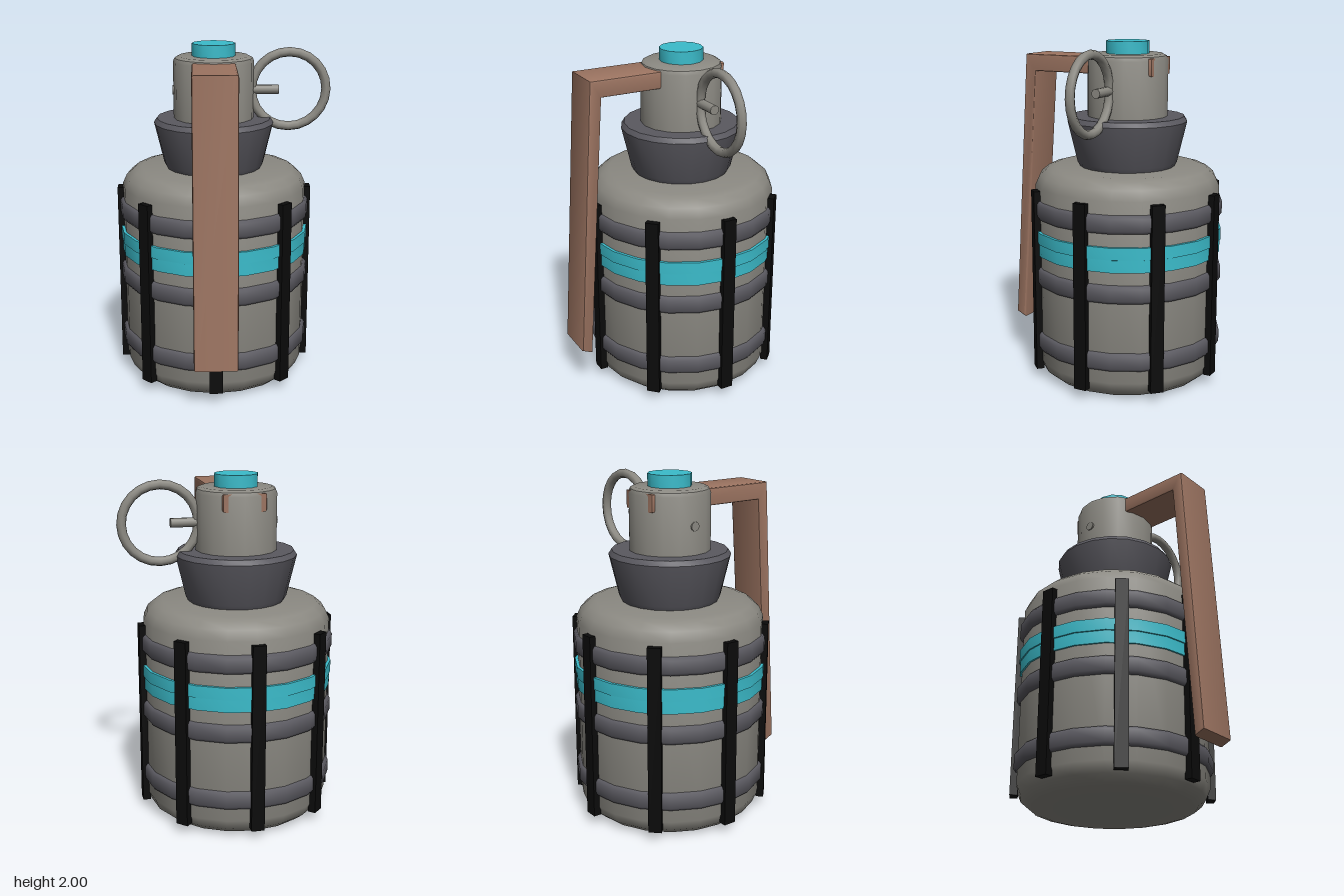
import * as THREE from 'three';
import { toCreasedNormals } from 'three/addons/utils/BufferGeometryUtils.js';

const CX = -0.055, CZ = -0.077; // main axis

export function createModel() {
  const mat = (name, color) => {
    const m = new THREE.MeshStandardMaterial({ color });
    m.name = name;
    return m;
  };
  const grey = mat('warm grey', 0x8b8982);
  const slate = mat('slate', 0x5a5960);
  const copper = mat('copper', 0x9c7461);
  const black = mat('black', 0x0b0b0b);
  const teal = mat('teal', 0x3bbccb);

  const model = new THREE.Group();
  model.name = 'canister';
  const core = new THREE.Group();
  core.name = 'core';
  core.position.set(CX, 0, CZ);
  model.add(core);

  const add = (parent, name, geometry, material) => {
    const mesh = new THREE.Mesh(geometry, material);
    mesh.name = name;
    parent.add(mesh);
    return mesh;
  };
  // Turned part from [radius, height] pairs, listed bottom to top
  const turned = (name, profile, sides, material, crease = 0.65) => {
    const points = profile.map(([r, y]) => new THREE.Vector2(r, y));
    return add(core, name, toCreasedNormals(new THREE.LatheGeometry(points, sides), crease), material);
  };

  // Body with rounded shoulders
  turned('body', [
    [0, 0], [0.43, 0], [0.475, 0.012], [0.52, 0.05], [0.545, 0.11],
    [0.545, 1.17], [0.52, 1.225], [0.475, 1.262], [0.43, 1.275], [0, 1.275],
  ], 20, grey);

  // Raised slate bands
  for (const y of [0.24, 0.64, 1.04]) {
    turned('band', [
      [0.53, y - 0.055], [0.553, y - 0.052], [0.565, y - 0.035],
      [0.565, y + 0.035], [0.553, y + 0.052], [0.53, y + 0.055],
    ], 20, slate, 0.9);
  }

  // Light strip with a shallow step
  turned('lightStrip', [
    [0.53, 0.768], [0.556, 0.768], [0.556, 0.84],
    [0.562, 0.842], [0.562, 0.912], [0.53, 0.912],
  ], 20, teal);

  // Vertical straps
  for (let i = 0; i < 8; i++) {
    const a = (i * Math.PI) / 4;
    const strap = add(core, 'strap', new THREE.BoxGeometry(0.076, 1.09, 0.045), black);
    strap.position.set(Math.sin(a) * 0.553, 0.605, Math.cos(a) * 0.553);
    strap.rotation.y = a;
  }

  // Collar, neck and button
  turned('collar', [
    [0, 1.265], [0.275, 1.265], [0.295, 1.3], [0.352, 1.54], [0.334, 1.568], [0, 1.568],
  ], 20, slate);
  turned('neck', [
    [0, 1.5], [0.235, 1.5], [0.235, 1.895], [0.226, 1.917], [0.205, 1.928], [0, 1.928],
  ], 16, grey);
  turned('button', [[0, 1.9], [0.126, 1.9], [0.126, 2], [0, 2]], 12, teal);

  // Bent lever, drawn in side profile as (z, y) and passing through the neck
  const bevel = 0.012;
  const side = new THREE.Shape([
    [-0.28, 1.822], [0.488, 1.822], [0.595, 0.262], [0.637, 0.282], [0.533, 1.898], [-0.28, 1.898],
  ].map(([z, y]) => new THREE.Vector2(z, y)));
  const width = 0.25;
  const leverGeometry = new THREE.ExtrudeGeometry(side, {
    depth: width - 2 * bevel, bevelEnabled: true, bevelSize: bevel, bevelThickness: bevel, bevelSegments: 2,
  });
  leverGeometry.translate(0, 0, -width / 2 + bevel);
  leverGeometry.rotateY(-Math.PI / 2);
  add(model, 'lever', toCreasedNormals(leverGeometry, 0.7), copper).position.x = CX - 0.002;

  // Cross pin and pull ring
  const pin = add(model, 'pin', new THREE.CylinderGeometry(0.027, 0.027, 0.62, 10), grey);
  pin.rotation.z = Math.PI / 2;
  pin.position.set(0.015, 1.73, CZ);
  add(model, 'pullRing', new THREE.TorusGeometry(0.218, 0.027, 8, 24), grey)
    .position.set(0.384, 1.73, CZ);

  return model;
}
